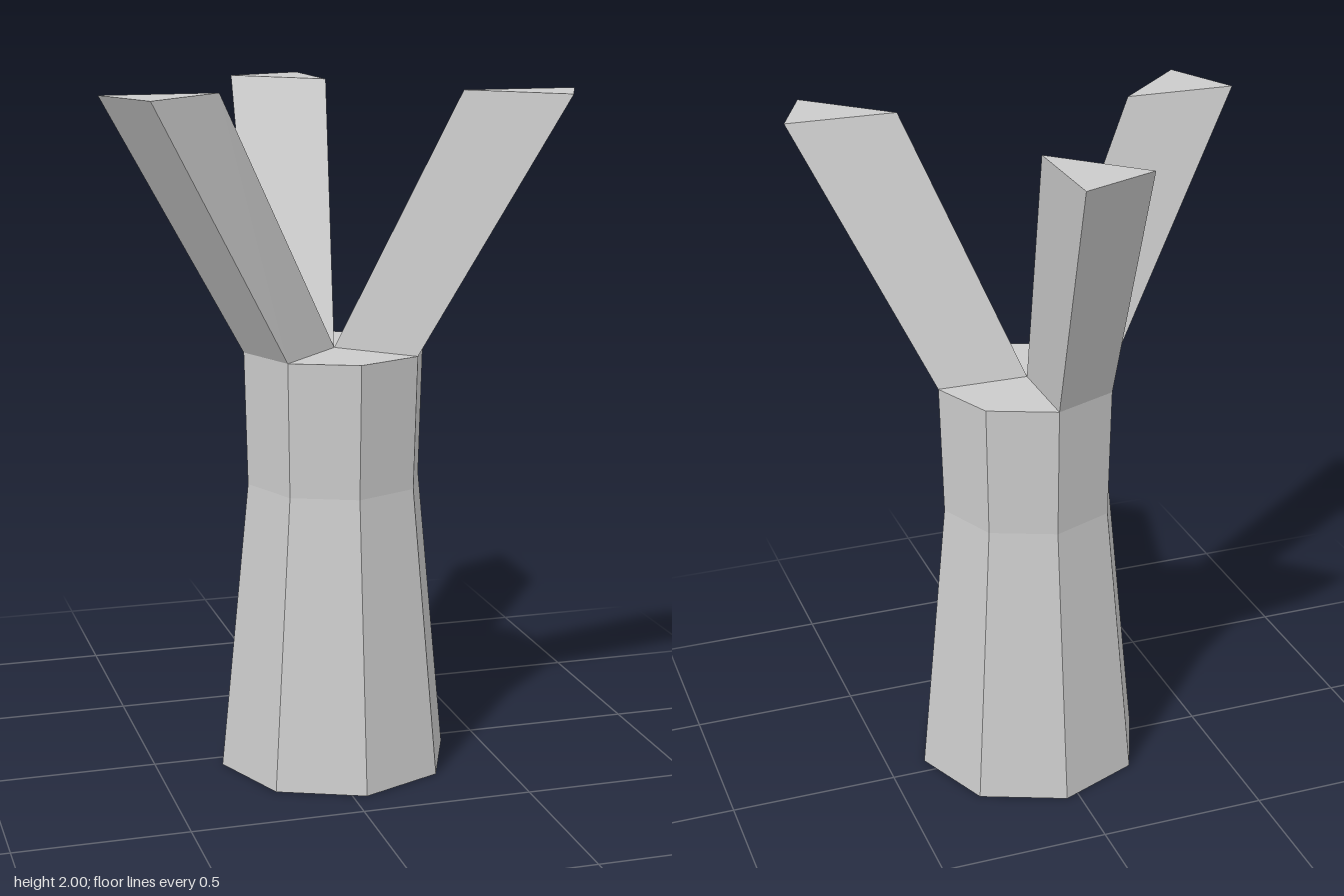
import * as THREE from 'three';

const CX = 0.04, CZ = 0.055, FORK_Y = 1.25, TOP_Y = 2, TOP_R = 0.27;

const material = new THREE.MeshStandardMaterial({ color: 0xcccccc, flatShading: true });

// Point on the trunk's octagon; corner 0 faces +z, counting towards +x
function corner(i, r, y) {
  const a = (i * Math.PI) / 4;
  return [CX + r * Math.sin(a), y, CZ + r * Math.cos(a)];
}

// Skin a stack of rings (bottom to top, counter-clockwise from above) with end caps
function loft(name, rings, capBottom) {
  const pos = [], n = rings[0].length;
  const tri = (a, b, c) => pos.push(...a, ...b, ...c);
  for (let k = 0; k < rings.length - 1; k++) {
    const lo = rings[k], hi = rings[k + 1];
    for (let i = 0; i < n; i++) {
      const j = (i + 1) % n;
      tri(lo[i], lo[j], hi[j]);
      tri(lo[i], hi[j], hi[i]);
    }
  }
  const bottom = rings[0], top = rings[rings.length - 1];
  for (let i = 1; i < n - 1; i++) {
    tri(top[0], top[i], top[i + 1]);
    if (capBottom) tri(bottom[0], bottom[i + 1], bottom[i]);
  }
  const g = new THREE.BufferGeometry();
  g.setAttribute('position', new THREE.Float32BufferAttribute(pos, 3));
  g.computeVertexNormals();
  const mesh = new THREE.Mesh(g, material);
  mesh.name = name;
  return mesh;
}

export function createModel() {
  const model = new THREE.Group();
  model.name = 'forkedTrunk';

  // Eight-sided trunk, flared at the foot and slightly at the fork
  const sections = [[0.345, 0], [0.26, 0.86], [TOP_R, FORK_Y]];
  const rings = sections.map(([r, y]) => [...Array(8).keys()].map((i) => corner(i, r, y)));
  model.add(loft('trunk', rings, true));

  // Three-sided branches, each growing from one wedge of the trunk's top;
  // tips are x, z of the inner corner and the two outer corners
  const branches = [
    ['leftBranch', 1, [[0.335, 0.305], [0.565, 0.53], [0.66, 0.305]]],
    ['backBranch', 4, [[0.09, -0.21], [0.09, -0.535], [-0.14, -0.44]]],
    ['rightBranch', 6, [[-0.335, 0.23], [-0.665, 0.23], [-0.57, 0.46]]],
  ];
  for (const [name, i, tips] of branches) {
    const base = [[CX, FORK_Y, CZ], corner(i, TOP_R, FORK_Y), corner(i + 1, TOP_R, FORK_Y)];
    model.add(loft(name, [base, tips.map(([x, z]) => [x, TOP_Y, z])], false));
  }
  return model;
}
